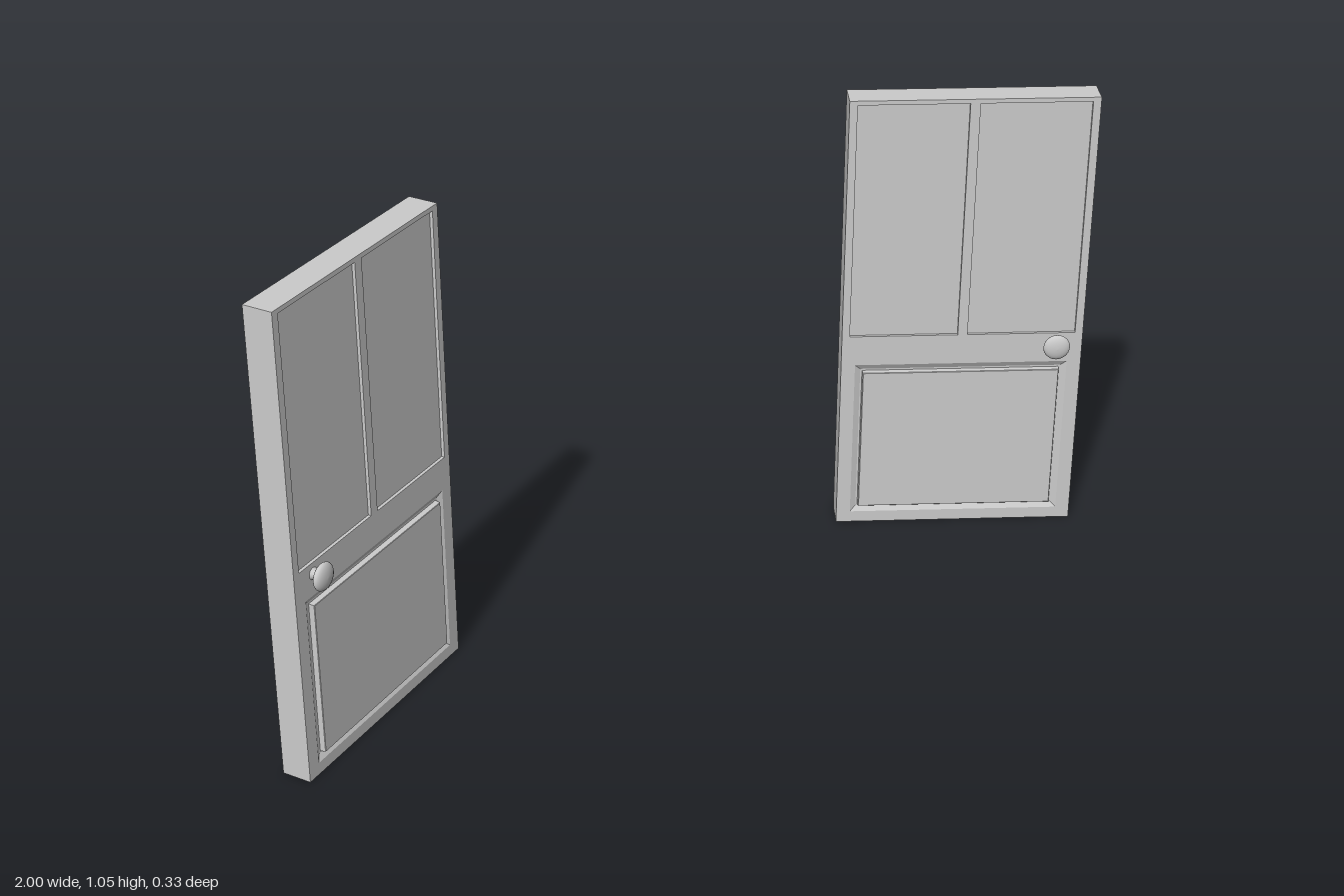
import * as THREE from 'three';

const W = 0.543, H = 1.05, T = 0.033;   // door width, height, half thickness
const ANGLE = THREE.MathUtils.degToRad(29.4);
const grey = new THREE.MeshStandardMaterial({ color: 0xcccccc });

// Rectangles on the door face: [x0, y0, x1, y1]
const OUTLINE = [-W / 2, 0, W / 2, H];
const WINDOWS = [[-0.254, 0.483, -0.011, 1.04], [0.011, 0.483, 0.254, 1.04]];
const LOWER = [-0.24, 0.027, 0.24, 0.411];

function corners([x0, y0, x1, y1], inset = 0) {
  return [
    [x0 + inset, y0 + inset], [x1 - inset, y0 + inset],
    [x1 - inset, y1 - inset], [x0 + inset, y1 - inset],
  ];
}

// Skin through nested rectangles, each step being [inset, z]; optionally close the last one
function loftRect(rect, steps, cap) {
  const loops = steps.map(([inset, z]) =>
    corners(rect, inset).map(([x, y]) => [x, y, z]));
  const pos = [];
  const quad = (a, b, c, d) => pos.push(...a, ...b, ...c, ...a, ...c, ...d);
  for (let k = 0; k < loops.length - 1; k++) {
    for (let i = 0; i < 4; i++) {
      const j = (i + 1) % 4;
      quad(loops[k][i], loops[k][j], loops[k + 1][j], loops[k + 1][i]);
    }
  }
  if (cap) quad(...loops[loops.length - 1]);
  const g = new THREE.BufferGeometry();
  g.setAttribute('position', new THREE.Float32BufferAttribute(pos, 3));
  g.computeVertexNormals();
  return g;
}

function add(parent, geometry, name) {
  const mesh = new THREE.Mesh(geometry, grey);
  mesh.name = name;
  parent.add(mesh);
  return mesh;
}

function faceGeometry() {
  const points = (r) => corners(r).map(([x, y]) => new THREE.Vector2(x, y));
  const shape = new THREE.Shape(points(OUTLINE));
  for (const r of [...WINDOWS, LOWER]) shape.holes.push(new THREE.Path(points(r).reverse()));
  return new THREE.ShapeGeometry(shape).translate(0, 0, T);
}

// Flared stem carrying a flattened round head, turned about z
function knobGeometry() {
  const profile = [[0.013, T], [0.011, T + 0.004], [0.008, T + 0.009], [0.009, T + 0.014]]
    .map(([r, z]) => new THREE.Vector2(r, z));
  for (let i = 2; i <= 12; i++) {
    const a = -Math.PI / 2 + (i / 12) * Math.PI;
    profile.push(new THREE.Vector2(Math.max(0, 0.03 * Math.cos(a)), 0.057 + 0.012 * Math.sin(a)));
  }
  return new THREE.LatheGeometry(profile, 28).rotateX(Math.PI / 2);
}

// One face of the door with its panels and knob
function makeSide(knobX) {
  const side = new THREE.Group();
  add(side, faceGeometry(), 'doorFace');
  for (const r of WINDOWS) {
    add(side, loftRect(r, [[0, T], [0, T - 0.007]], true), 'upperPanel');
  }
  // sloped moulding sinking in, then a raised field standing proud of the face
  add(side, loftRect(LOWER, [
    [0, T], [0.013, T - 0.007], [0.017, T - 0.007], [0.018, T + 0.005], [0.019, T + 0.006],
  ], true), 'lowerPanel');
  add(side, knobGeometry(), 'knob').position.set(knobX, 0.459, 0);
  return side;
}

function makeDoor(sign) {
  const door = new THREE.Group();
  add(door, loftRect(OUTLINE, [[0, -T], [0, T]], false), 'doorEdges');
  const knobX = sign * 0.21;
  const front = makeSide(knobX);
  front.name = 'frontSide';
  const back = makeSide(-knobX);
  back.name = 'backSide';
  back.rotation.y = Math.PI;
  door.add(front, back);
  door.position.set(sign * 0.7475, 0, -0.005);
  door.rotation.y = -sign * ANGLE;
  door.name = sign > 0 ? 'leftDoor' : 'rightDoor';
  return door;
}

export function createModel() {
  const model = new THREE.Group();
  model.name = 'doubleDoors';
  model.add(makeDoor(1), makeDoor(-1));
  return model;
}
